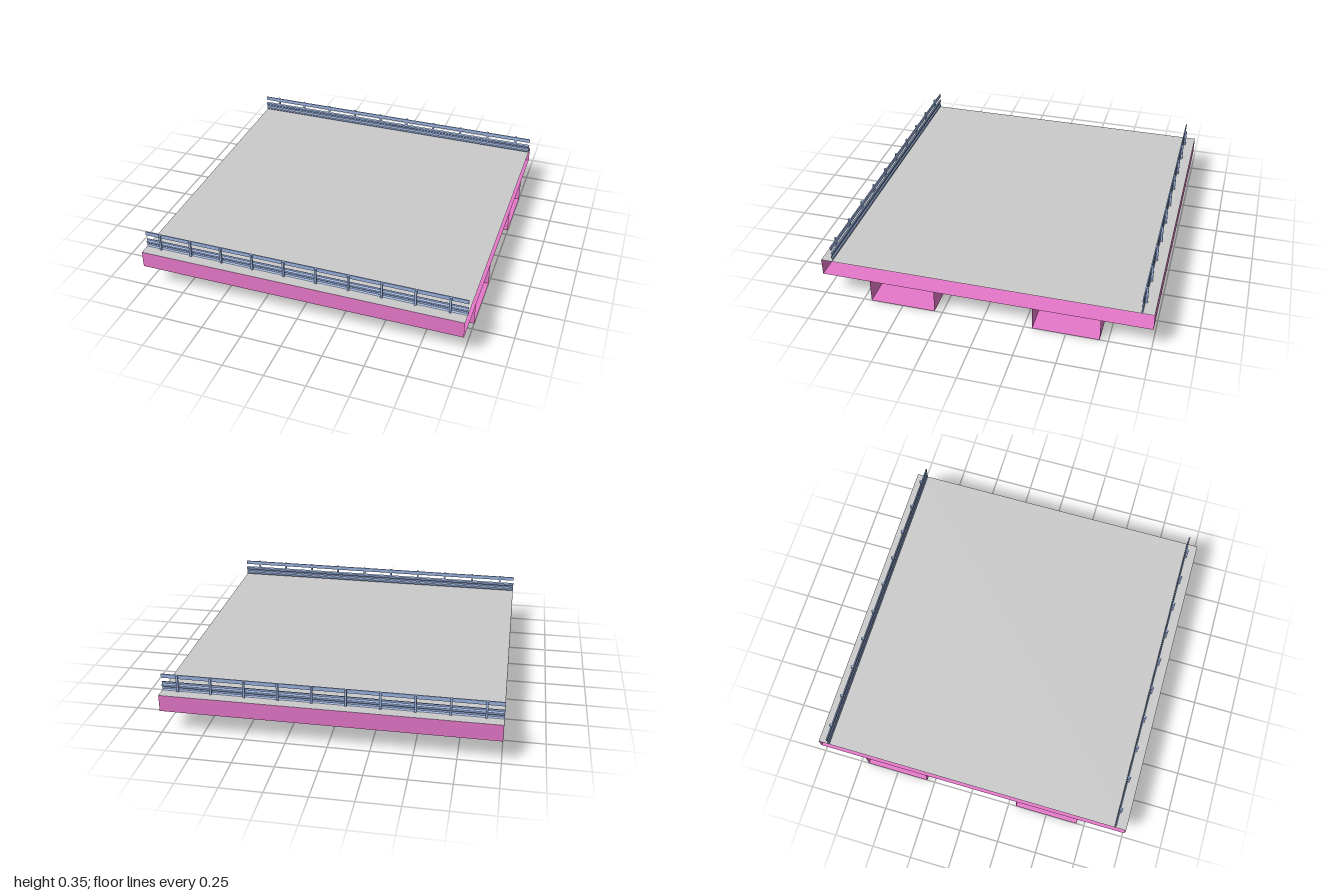
import * as THREE from 'three';

const LENGTH = 2;
const concrete = new THREE.MeshStandardMaterial({ color: 0xcccccc, side: THREE.DoubleSide });
const steel = new THREE.MeshStandardMaterial({ color: 0xe678ca, side: THREE.DoubleSide, flatShading: true });
const railing = new THREE.MeshStandardMaterial({ color: 0x9ab3e0, side: THREE.DoubleSide, flatShading: true });

// Open sheet: a [z, y] profile swept along the full length in x
function sheet(name, profile, material) {
  const pos = [];
  const h = LENGTH / 2;
  for (let i = 0; i < profile.length - 1; i++) {
    const [z0, y0] = profile[i];
    const [z1, y1] = profile[i + 1];
    pos.push(-h, y0, z0, h, y0, z0, h, y1, z1);
    pos.push(-h, y0, z0, h, y1, z1, -h, y1, z1);
  }
  const geo = new THREE.BufferGeometry();
  geo.setAttribute('position', new THREE.Float32BufferAttribute(pos, 3));
  geo.computeVertexNormals();
  const mesh = new THREE.Mesh(geo, material);
  mesh.name = name;
  return mesh;
}

function box(name, w, h, d, x, y, z) {
  const mesh = new THREE.Mesh(new THREE.BoxGeometry(w, h, d), railing);
  mesh.position.set(x, y, z);
  mesh.name = name;
  return mesh;
}

// Guard rail: top bar, corrugated beam on the road side, posts behind
function guardRail(side) {
  const group = new THREE.Group();
  group.name = side > 0 ? 'frontGuardRail' : 'backGuardRail';
  const inner = 0.926, outer = 0.933;
  const beam = [
    [outer, 0.25], [inner, 0.257], [inner, 0.268], [outer, 0.275],
    [outer, 0.285], [inner, 0.292], [inner, 0.303], [outer, 0.31],
  ].map(([z, y]) => [z * side, y]);
  group.add(sheet('corrugatedBeam', beam, railing));
  group.add(box('topBar', LENGTH, 0.024, 0.007, 0, 0.343, side * 0.9295));
  for (let i = 0; i < 10; i++) {
    group.add(box('post', 0.012, 0.105, 0.012, -0.9 + i * 0.2, 0.3025, side * 0.939));
  }
  return group;
}

export function createModel() {
  const model = new THREE.Group();
  model.name = 'bridgeSection';
  const deckY = 0.249, soffitY = 0.145;

  // Road surface
  model.add(sheet('roadDeck', [[1, deckY], [-1, deckY]], concrete));

  // Side panels and underside, open at both ends
  model.add(sheet('deckTray', [[-1, deckY], [-1, soffitY], [1, soffitY], [1, deckY]], steel));

  for (const side of [1, -1]) {
    // Hollow girder hanging under the deck
    model.add(sheet(
      side > 0 ? 'frontGirder' : 'backGirder',
      [[side * 0.5 - 0.2, soffitY], [side * 0.5 - 0.2, 0], [side * 0.5 + 0.2, 0], [side * 0.5 + 0.2, soffitY]],
      steel,
    ));
    model.add(guardRail(side));
  }
  return model;
}
